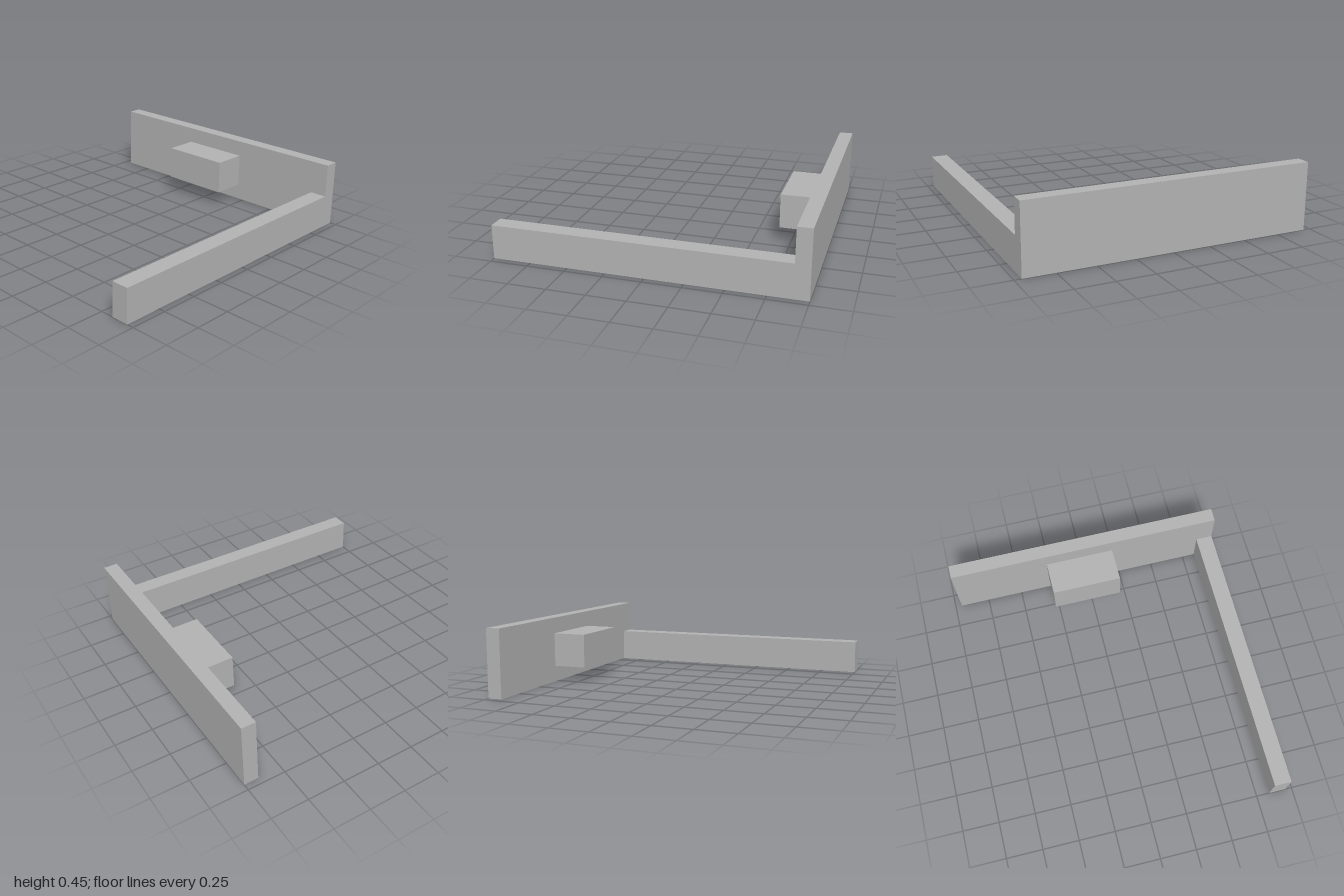
import * as THREE from 'three';

export function createModel() {
  const model = new THREE.Group();
  const grey = new THREE.MeshStandardMaterial({ color: 0xb2b2b2 });
  grey.name = 'plain grey';

  // Box given by its opposite corners
  function addBlock(name, [x0, y0, z0], [x1, y1, z1]) {
    const mesh = new THREE.Mesh(new THREE.BoxGeometry(x1 - x0, y1 - y0, z1 - z0), grey);
    mesh.position.set((x0 + x1) / 2, (y0 + y1) / 2, (z0 + z1) / 2);
    mesh.name = name;
    model.add(mesh);
  }

  // Tall wall along the left side
  addBlock('tallWall', [0.905, 0, -0.955], [1, 0.45, 0.955]);
  // Low wall along the front, butting against the tall one
  addBlock('lowWall', [-1, 0, 0.84], [0.905, 0.225, 0.955]);
  // Raised block on the inner face of the tall wall
  addBlock('wallBlock', [0.675, 0.11, -0.28], [0.905, 0.34, 0.2]);

  return model;
}
